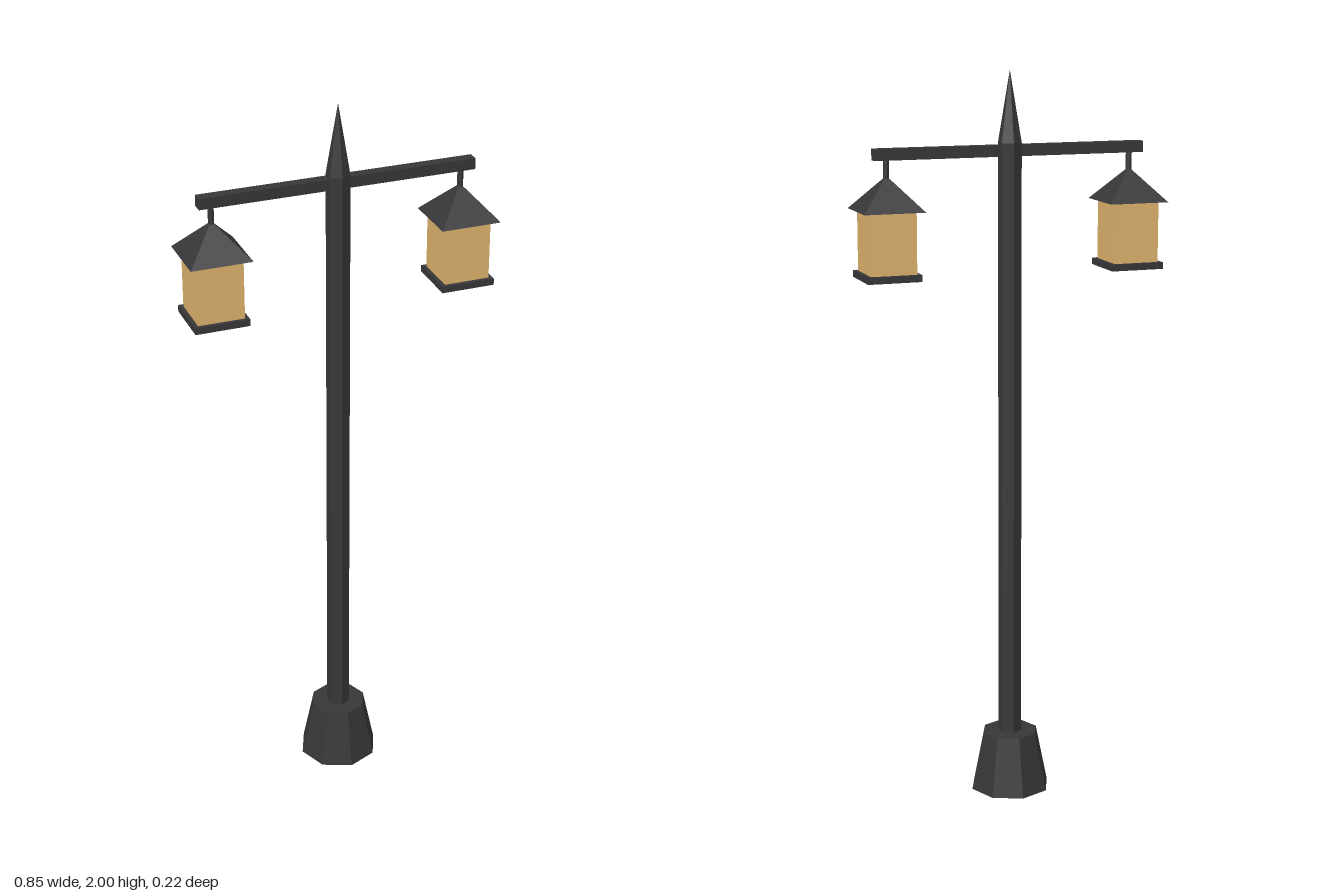
import * as THREE from 'three';

export function createModel() {
  const model = new THREE.Group();
  model.name = 'streetLamp';
  const iron = new THREE.MeshStandardMaterial({ color: 0x37373a, flatShading: true });
  const glass = new THREE.MeshStandardMaterial({ color: 0xe0b46c, flatShading: true });

  // Adds a mesh spanning from height y0 upwards
  const add = (parent, name, geometry, y, material = iron) => {
    const mesh = new THREE.Mesh(geometry, material);
    mesh.name = name;
    mesh.position.y = y;
    parent.add(mesh);
    return mesh;
  };
  const tapered = (top, bottom, y0, y1, sides) =>
    new THREE.CylinderGeometry(top, bottom, y1 - y0, sides).translate(0, (y1 - y0) / 2, 0);

  // Octagonal foot, hexagonal post and pointed finial
  add(model, 'base', tapered(0.078, 0.112, 0, 0.165, 8), 0);
  add(model, 'post', tapered(0.032, 0.032, 0.16, 1.81, 6), 0.16);
  add(model, 'finial', new THREE.ConeGeometry(0.032, 0.19, 6), 1.905);

  // Crossbar carrying both lanterns
  add(model, 'crossbar', new THREE.BoxGeometry(0.75, 0.03, 0.03), 1.79);

  for (const side of [-1, 1]) {
    const lantern = new THREE.Group();
    lantern.name = side > 0 ? 'leftLantern' : 'rightLantern';
    lantern.position.x = side * 0.34;
    add(lantern, 'hanger', tapered(0.008, 0.008, 1.71, 1.78, 6), 1.71);
    // Four-sided pyramid roof turned square to the axes
    const roof = new THREE.ConeGeometry(0.0825 * Math.SQRT2, 0.09, 4).rotateY(Math.PI / 4);
    add(lantern, 'roof', roof, 1.69);
    add(lantern, 'glass', new THREE.BoxGeometry(0.125, 0.165, 0.125), 1.5635, glass);
    add(lantern, 'bottomPlate', new THREE.BoxGeometry(0.147, 0.018, 0.147), 1.473);
    model.add(lantern);
  }
  return model;
}
